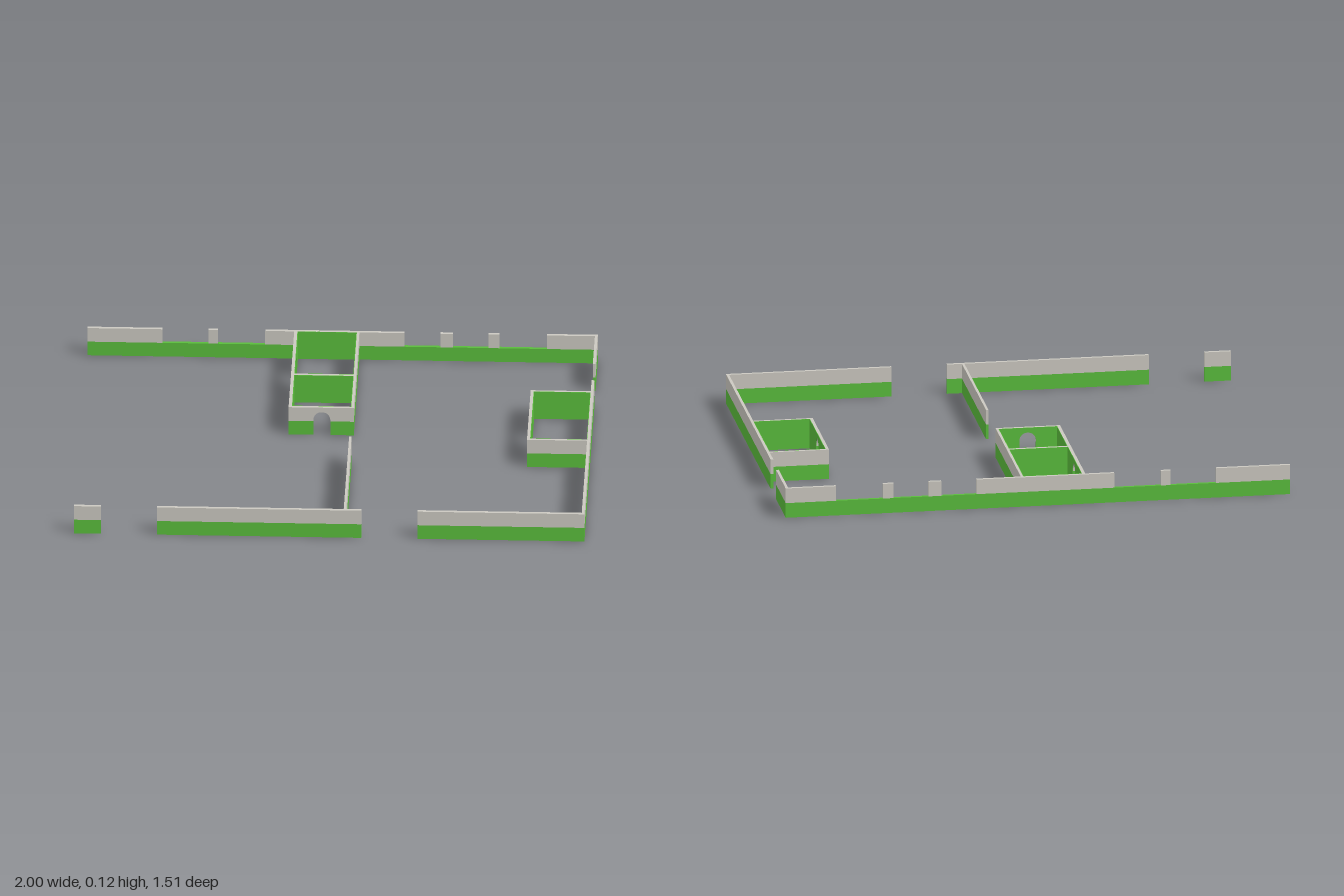
import * as THREE from 'three';

const H = 0.12;      // wall height
const MID = 0.06;    // top of the green band and of the window sills
const DOOR_H = 0.1;  // crown of the arched doors

const green = new THREE.MeshStandardMaterial({ color: 0x5abc3c });
green.name = 'green paint';
const grey = new THREE.MeshStandardMaterial({ color: 0xcbc8c0 });
grey.name = 'pale grey plaster';

// Upright slab from a to b along 'x' or 'z', between y0 and y1, with an optional arched doorway
function slab(name, material, axis, a, b, centre, thickness, y0, y1, door) {
  const s = new THREE.Shape();
  s.moveTo(a, y0);
  if (door) {
    const [d0, d1] = door;
    const r = (d1 - d0) / 2;
    s.lineTo(d0, y0);
    if (y1 > DOOR_H) {
      s.lineTo(d0, DOOR_H - r);
      s.absarc(d0 + r, DOOR_H - r, r, Math.PI, 0, true);
    } else {
      s.lineTo(d0, y1);
      s.lineTo(a, y1);
      s.closePath();
      s.moveTo(a, y0);
    }
    s.lineTo(d1, y0);
  }
  s.lineTo(b, y0);
  s.lineTo(b, y1);
  s.lineTo(a, y1);
  const g = new THREE.ExtrudeGeometry(s, { depth: thickness, bevelEnabled: false, curveSegments: 8 });
  g.translate(0, 0, -thickness / 2);
  if (axis === 'z') g.rotateY(-Math.PI / 2);
  g.translate(axis === 'z' ? centre : 0, 0, axis === 'z' ? 0 : centre);
  const mesh = new THREE.Mesh(g, material);
  mesh.name = name;
  return mesh;
}

// Two-tone wall: green band below, plaster above; 'tops' lists the full-height stretches
function wall(name, axis, a, b, centre, thickness, { door, tops = [[a, b]] } = {}) {
  const group = new THREE.Group();
  group.name = name;
  const bands = door ? [[a, door[0]], [door[1], b]] : [[a, b]];
  for (const [p, q] of bands) {
    group.add(slab('greenBand', green, axis, p, q, centre, thickness, 0, MID));
  }
  for (const [p, q] of tops) {
    group.add(slab('plasterBand', grey, axis, p, q, centre, thickness, MID, H, door));
  }
  return group;
}

// Thin green lining on the four inner faces of a room
function lining(name, x0, x1, z0, z1, { left, front } = {}) {
  const t = 0.002;
  const group = new THREE.Group();
  group.name = name;
  group.add(
    slab('liningBack', green, 'x', x0, x1, z0 + t / 2, t, 0, H),
    slab('liningFront', green, 'x', x0, x1, z1 - t / 2, t, 0, H, front),
    slab('liningLeft', green, 'z', z0, z1, x0 + t / 2, t, 0, H, left),
    slab('liningRight', green, 'z', z0, z1, x1 - t / 2, t, 0, H),
  );
  return group;
}

export function createModel() {
  const model = new THREE.Group();
  model.name = 'floorPlanWalls';

  // Outer walls; the back wall has window openings above its sills
  model.add(wall('backWall', 'x', -1, 1, -0.75, 0.013, {
    tops: [[-1, -0.706], [-0.526, -0.488], [-0.303, 0.243], [0.383, 0.433], [0.572, 0.614], [0.8, 1]],
  }));
  for (const [a, b] of [[-1, -0.895], [-0.675, 0.125], [0.345, 1]]) {
    model.add(wall('frontWall', 'x', a, b, 0.75, 0.013));
  }
  for (const [a, b] of [[-0.744, -0.51], [-0.373, 0.744]]) {
    model.add(wall('sideWall', 'z', a, b, 0.994, 0.011));
  }
  model.add(wall('partition', 'z', 0.135, 0.744, 0.061, 0.01));

  // Pair of rooms against the back wall
  const rearDoor = [-0.585, -0.515], frontDoor = [-0.092, -0.026];
  model.add(
    wall('roomPairLeftWall', 'z', -0.744, -0.105, -0.183, 0.013, { door: rearDoor }),
    wall('roomPairRightWall', 'z', -0.744, -0.105, 0.061, 0.01),
    wall('roomPairMiddleWall', 'x', -0.177, 0.056, -0.383, 0.012),
    wall('roomPairFrontWall', 'x', -0.177, 0.056, -0.111, 0.012, { door: frontDoor }),
    lining('rearRoomLining', -0.177, 0.056, -0.744, -0.389, { left: rearDoor }),
    lining('frontRoomLining', -0.177, 0.056, -0.377, -0.117, { front: frontDoor }),
  );

  // Single room against the side wall
  const sideDoor = [-0.105, -0.04];
  model.add(
    wall('sideRoomLeftWall', 'z', -0.281, 0.137, 0.759, 0.012, { door: sideDoor }),
    wall('sideRoomBackWall', 'x', 0.765, 0.989, -0.276, 0.01),
    wall('sideRoomFrontWall', 'x', 0.765, 0.989, 0.132, 0.01),
    lining('sideRoomLining', 0.765, 0.989, -0.271, 0.127, { left: sideDoor }),
  );
  return model;
}
